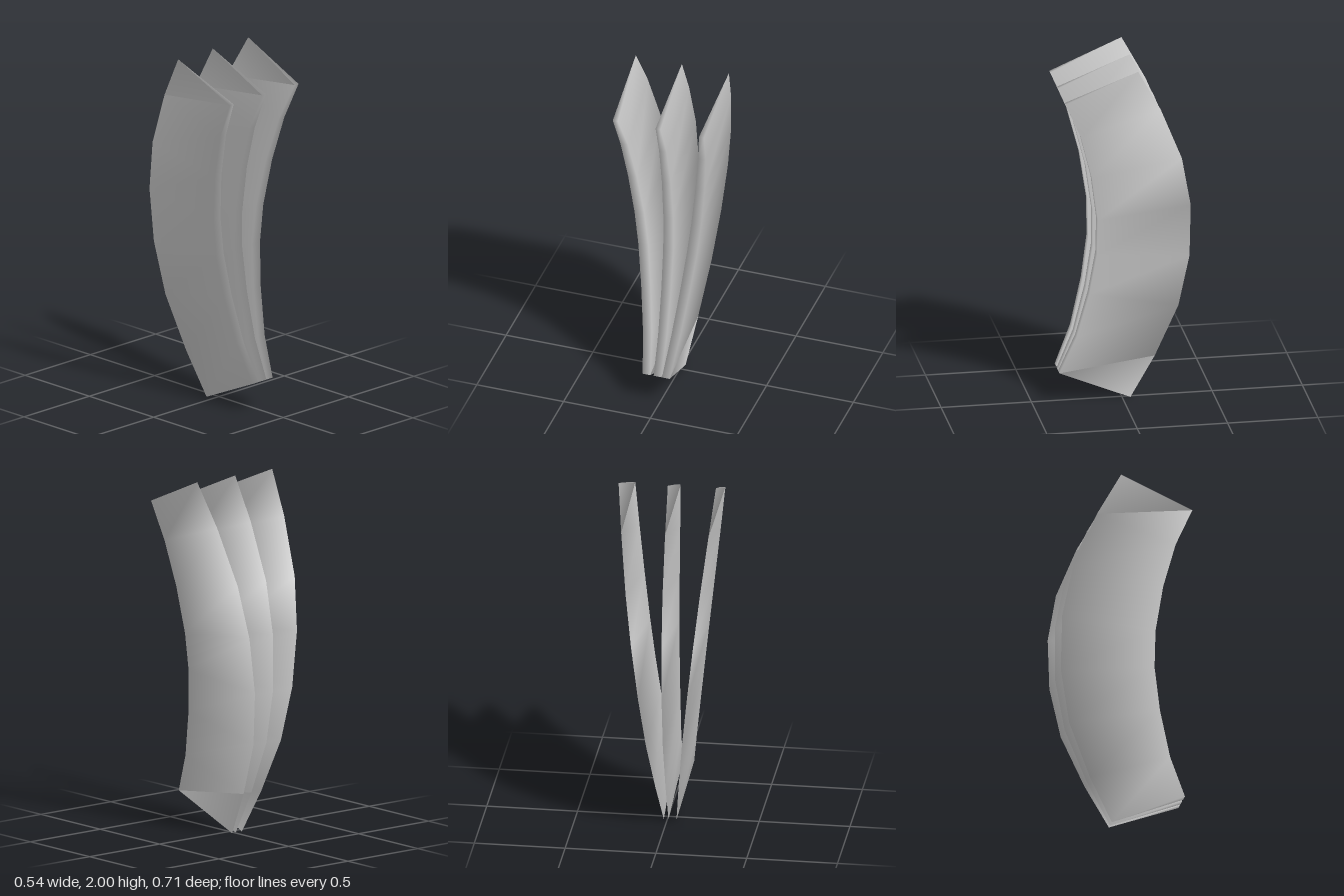
import * as THREE from 'three';

// Stations from bottom to top: back edge [y, z], front edge [y, z], front thickness
const STATIONS = [
  [0.005, -0.045, 0.185, 0.355, 0.044],
  [0.25, -0.175, 0.40, 0.265, 0.050],
  [0.55, -0.30, 0.66, 0.20, 0.055],
  [0.85, -0.355, 0.90, 0.163, 0.058],
  [1.16, -0.355, 1.11, 0.163, 0.057],
  [1.45, -0.30, 1.37, 0.20, 0.052],
  [1.76, -0.175, 1.62, 0.265, 0.044],
  [2.0, -0.045, 1.83, 0.355, 0.029],
];

// Curved wedge: sharp back edge, narrow flat front, leaning sideways
function bladeGeometry(footX, lean) {
  const position = [], index = [];
  const centre = (y) => footX + lean * y - 0.006 * Math.sin((Math.PI * y) / 2);
  for (const [backY, backZ, frontY, frontZ, thick] of STATIONS) {
    const x = centre(frontY);
    position.push(centre(backY), backY, backZ);
    position.push(x - thick / 2, frontY, frontZ);
    position.push(x + thick / 2, frontY, frontZ);
  }
  // Walls between neighbouring triangular sections
  for (let i = 0; i < STATIONS.length - 1; i++) {
    for (let j = 0; j < 3; j++) {
      const a = i * 3 + j, b = i * 3 + ((j + 1) % 3);
      index.push(a, b, b + 3, a, b + 3, a + 3);
    }
  }
  // End caps
  const top = (STATIONS.length - 1) * 3;
  index.push(0, 2, 1, top, top + 1, top + 2);

  const geometry = new THREE.BufferGeometry();
  geometry.setAttribute('position', new THREE.Float32BufferAttribute(position, 3));
  geometry.setIndex(index);
  geometry.computeVertexNormals();
  return geometry;
}

export function createModel() {
  const group = new THREE.Group();
  group.name = 'bladeFan';
  const material = new THREE.MeshStandardMaterial({ color: 0xcccccc });

  // Three blades fanning out from a narrow base
  const blades = [
    ['rightBlade', -0.05, -0.109],
    ['middleBlade', -0.007, 0.002],
    ['leftBlade', 0.018, 0.125],
  ];
  for (const [name, footX, lean] of blades) {
    const blade = new THREE.Mesh(bladeGeometry(footX, lean), material);
    blade.name = name;
    group.add(blade);
  }
  return group;
}
